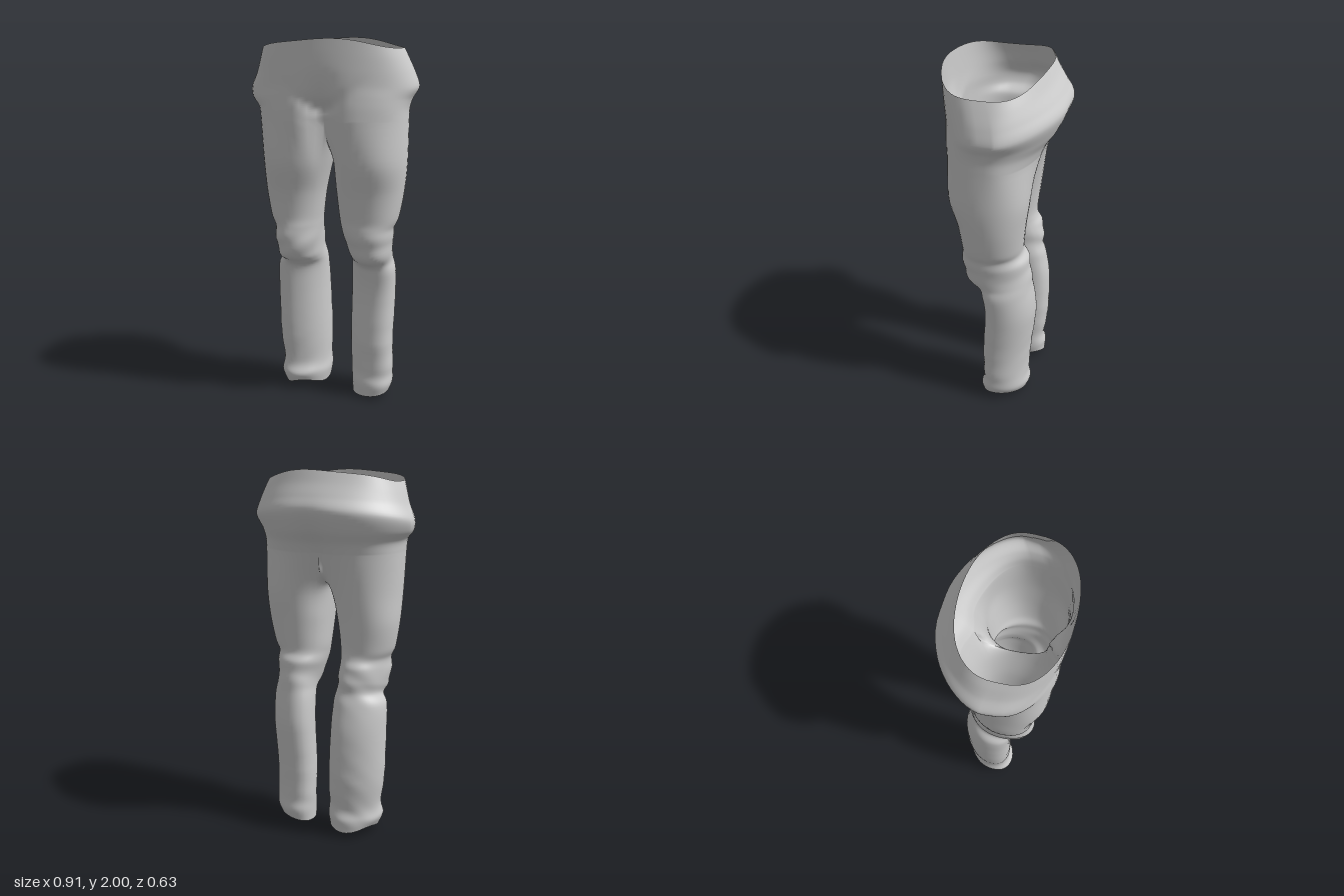
import * as THREE from 'three';
import { mergeGeometries, mergeVertices } from 'three/addons/utils/BufferGeometryUtils.js';

const OUT = 32;   // columns round the outside of each half
const IN = 14;    // columns along the inseam of each leg
const STEPS = 6;  // smoothing steps between two cross-sections
const V = (x, y, z) => new THREE.Vector3(x, y, z);
const { lerp, smoothstep, degToRad } = THREE.MathUtils;
const bump = (v, centre, width) => Math.exp(-(((v - centre) / width) ** 2));

// Hip sections, bottom to top: y front, y back, y side offset, x right, x left,
// flare right, flare left, z front, z back, z of widest point, centre crease, back roundness
const HIPS = [
  [1.58, 1.57, 0, 0.383, 0.41, 0, 0, 0.298, -0.212, 0.03, 0.36, 0.85],
  [1.65, 1.63, 0, 0.383, 0.41, 0.012, 0.002, 0.3, -0.24, 0.025, 0.26, 0.95],
  [1.71, 1.70, -0.015, 0.386, 0.41, 0.055, 0.015, 0.3, -0.285, 0.01, 0.13, 1.1],
  [1.77, 1.80, -0.035, 0.388, 0.408, 0.067, 0.047, 0.302, -0.32, -0.02, 0.05, 1.25],
  [1.84, 1.87, -0.03, 0.384, 0.403, 0.03, 0.03, 0.306, -0.285, -0.01, 0.01, 1.15],
  [1.915, 1.935, -0.03, 0.376, 0.394, 0.008, 0.008, 0.309, -0.245, 0.01, 0, 0.95],
  [1.995, 1.998, -0.052, 0.362, 0.378, 0, 0, 0.312, -0.215, 0.03, 0, 0.8],
];

// Leg sections, bottom to top: y, inner x, outer x, z front, z back
const LEGS = {
  left: [
    [0.025, 0.10, 0.325, 0.09, -0.15], [0.09, 0.095, 0.34, 0.095, -0.165], [0.17, 0.09, 0.342, 0.08, -0.155],
    [0.34, 0.085, 0.338, 0.085, -0.165], [0.6, 0.085, 0.345, 0.07, -0.19], [0.75, 0.09, 0.345, 0.085, -0.175],
    [0.81, 0.095, 0.333, 0.11, -0.165], [0.86, 0.09, 0.33, 0.16, -0.16], [0.94, 0.065, 0.342, 0.195, -0.15],
    [1.0, 0.052, 0.345, 0.2, -0.125], [1.06, 0.042, 0.37, 0.2, -0.125], [1.2, 0.03, 0.395, 0.222, -0.14],
    [1.36, 0.018, 0.41, 0.262, -0.16],
  ],
  right: [
    [0.045, 0.05, 0.29, 0.06, -0.195], [0.1, 0.04, 0.315, 0.075, -0.195], [0.17, 0.045, 0.305, 0.05, -0.185],
    [0.34, 0.045, 0.325, 0.06, -0.205], [0.6, 0.055, 0.33, 0.065, -0.205], [0.75, 0.06, 0.325, 0.075, -0.18],
    [0.81, 0.066, 0.29, 0.11, -0.165], [0.86, 0.07, 0.305, 0.165, -0.165], [0.94, 0.068, 0.312, 0.2, -0.155],
    [1.0, 0.063, 0.315, 0.195, -0.13], [1.06, 0.057, 0.34, 0.195, -0.125], [1.2, 0.036, 0.365, 0.215, -0.14],
    [1.36, -0.003, 0.372, 0.258, -0.16],
  ],
};

// One point of a hip section; angle 0 is centre front, PI centre back
function hipPoint([yF, yB, ySide, xR, xL, flareR, flareL, zF, zB, zMid, crease, backPower], a) {
  const s = Math.sin(a), c = Math.cos(a);
  const flare = smoothstep(Math.abs(a), 0.5, 1.7);  // the loose flap fades out toward the front
  const x = s * (s < 0 ? xR + flareR * flare : xL + flareL * flare);
  const depth = c > 0 ? (zF - zMid) * c ** 0.68 : (zB - zMid) * Math.abs(c) ** backPower * (1 - 0.2 * x);
  const z = zMid + depth * (1 - crease * (c > 0 ? 1 : 0.5) * bump(x, 0, 0.075));
  const y = lerp(yF, yB, (1 - c) / 2) + ySide * s * s + 0.004 * smoothstep(yF, 1.9, 1.99) * Math.sin(5 * a);
  return V(x, y, z);
}

// Top edge of a leg: half of the lowest hip section, closed by the crotch curve
function legTop(side) {
  const ring = [];
  for (let i = 0; i <= OUT; i++) ring.push(hipPoint(HIPS[0], (side * Math.PI * i) / OUT));
  const front = ring[0], back = ring[OUT];
  for (let i = 1; i < IN; i++) {
    const t = i / IN, sag = Math.sin(Math.PI * t);
    const p = back.clone().lerp(front, 0.5 - 0.5 * Math.cos(Math.PI * t));
    p.x = 0.013 * sag;
    p.y -= 0.18 * sag ** 0.8;
    ring.push(p);
  }
  return ring;
}

// Rounded leg section whose columns line up with legTop
function legRing([y, xIn, xOut, zF, zB], side, index) {
  const ring = [];
  const power = 0.93;
  const turnOut = 0.28 * (1 - smoothstep(y, 0.75, 1.2));  // shins are turned slightly outward
  for (let i = 0; i < OUT + IN; i++) {
    const deg = i <= OUT ? lerp(-50, 230, i / OUT) : lerp(230, 310, (i - OUT) / IN);
    const a = degToRad(deg), s = Math.sin(a), c = Math.cos(a);
    const dx = ((xOut - xIn) / 2) * Math.sign(s) * Math.abs(s) ** power;
    const z = (zF + zB) / 2 + ((zF - zB) / 2) * Math.sign(c) * Math.abs(c) ** power + turnOut * dx;
    // uneven hem
    const hem = index === 0 ? (side > 0 ? -0.01 * c + 0.019 * s : 0.012 * Math.cos(3 * a)) : 0;
    // knee folds slope down toward the front
    const sag = -0.035 * c * bump(y, 0.87, 0.1);
    ring.push(V(side * ((xIn + xOut) / 2 + dx), y + hem + sag, z));
  }
  return ring;
}

// Skin a stack of closed rings with smooth lengthwise curves
function skin(rings, flip, deform) {
  const n = rings[0].length, rows = (rings.length - 1) * STEPS;
  const pos = [], index = [];
  const columns = rings[0].map((_, c) => new THREE.CatmullRomCurve3(rings.map((r) => r[c]), false, 'catmullrom', 0.45));
  for (let r = 0; r <= rows; r++) {
    for (let c = 0; c < n; c++) {
      const p = columns[c].getPoint(r / rows);
      deform(p);
      pos.push(p.x, p.y, p.z);
      if (r === rows) continue;
      const a = r * n + c, b = r * n + ((c + 1) % n);
      if (flip) index.push(a, b + n, b, a, a + n, b + n);
      else index.push(a, b, b + n, a, b + n, a + n);
    }
  }
  const g = new THREE.BufferGeometry();
  g.setAttribute('position', new THREE.Float32BufferAttribute(pos, 3));
  g.setIndex(index);
  return g;
}

// Diagonal cloth folds at knee, shin and ankle
function wrinkle(side) {
  return (p) => {
    const cx = side * 0.2, cz = lerp(-0.07, 0.04, smoothstep(p.y, 0.75, 1.1));
    const a = Math.atan2(side * (p.x - cx), p.z - cz);
    const weight = bump(p.y, 0.88, 0.12) + 0.9 * bump(p.y, 0.13, 0.08) + 0.5 * bump(p.y, 0.38, 0.14);
    const k = 1 + 0.025 * weight * Math.sin(p.y * 48 + 3 * Math.sin(a + 0.6) - 14 * p.x) * Math.cos(a - 0.3);
    p.x = cx + (p.x - cx) * k;
    p.z = cz + (p.z - cz) * k;
  };
}

// Folds running from the crotch up and out over the front of the hips
function groinFold(p) {
  const line = 1.62 + 0.75 * Math.abs(p.x);
  p.z -= 0.016 * bump(p.y, line, 0.035) * bump(p.x, 0, 0.13) * smoothstep(p.z, 0.1, 0.2) * smoothstep(p.y, 1.58, 1.64);
}

function buildLeg(name, side) {
  const rings = LEGS[name].map((row, i) => legRing(row, side, i));
  rings.push(legTop(side));
  return skin(rings, side < 0, wrinkle(side));
}

function buildHips() {
  const rings = HIPS.map((row) =>
    Array.from({ length: OUT * 2 }, (_, i) => hipPoint(row, (Math.PI * (i <= OUT ? i : i - 2 * OUT)) / OUT)));
  return skin(rings, false, groinFold);
}

export function createModel() {
  const group = new THREE.Group();
  group.name = 'trousers';
  // hips and legs are welded so the cloth shades as one piece
  const cloth = mergeVertices(mergeGeometries([buildHips(), buildLeg('left', 1), buildLeg('right', -1)]), 1e-4);
  cloth.computeVertexNormals();
  const mesh = new THREE.Mesh(cloth, new THREE.MeshStandardMaterial({ color: 0xcccccc, side: THREE.DoubleSide }));
  mesh.name = 'hipsAndLegs';
  group.add(mesh);
  return group;
}
